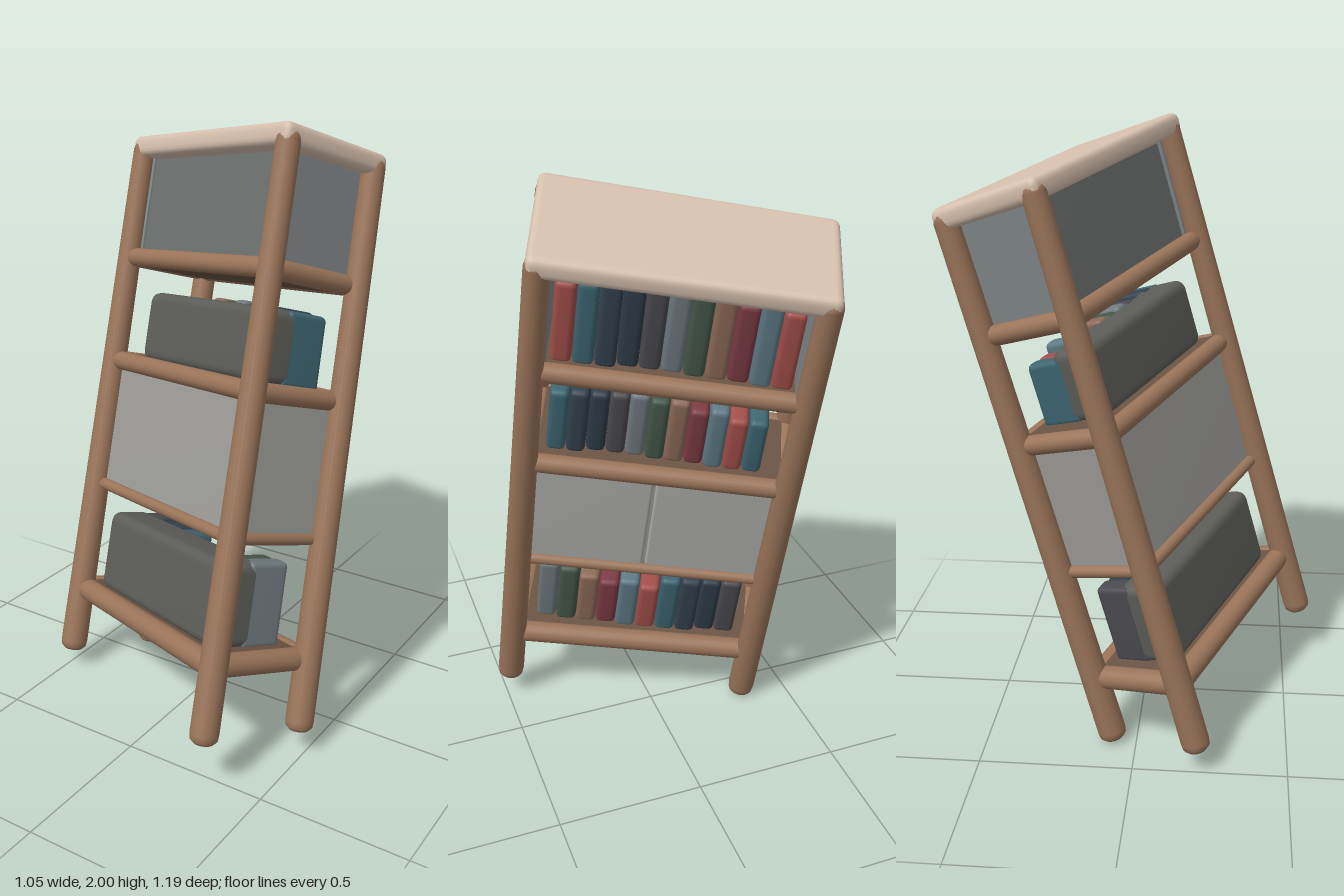
import * as THREE from 'three';
import { RoundedBoxGeometry } from 'three/addons/geometries/RoundedBoxGeometry.js';
import { mergeVertices } from 'three/addons/utils/BufferGeometryUtils.js';

const V = (x, y, z) => new THREE.Vector3(x, y, z);

// Leg axes as [top, bottom]; the whole frame leans back and is turned
const legs = {
  frontRight: [V(-0.455, 1.86, -0.28), V(-0.477, 0.07, 0.21)],
  frontLeft: [V(0.3, 1.98, 0.045), V(0.325, 0.172, 0.557)],
  backRight: [V(-0.325, 1.757, -0.567), V(-0.335, 0.006, -0.075)],
  backLeft: [V(0.425, 1.867, -0.272), V(0.48, 0.085, 0.225)],
};

// Point inside the frame: u right-to-left, v front-to-back, t top-to-bottom
function framePoint(u, v, t) {
  const at = ([a, b]) => a.clone().lerp(b, t);
  const front = at(legs.frontRight).lerp(at(legs.frontLeft), u);
  const back = at(legs.backRight).lerp(at(legs.backLeft), u);
  return front.lerp(back, v);
}

const W = 0.84, H = 1.85, D = 0.34; // frame size along u, t, v

const materials = {};
function mat(color) {
  return (materials[color] ??= new THREE.MeshStandardMaterial({ color }));
}

// Soft-edged block fitted into the frame
function block(parent, name, color, [u0, u1], [v0, v1], [t0, t1], r = 0.01) {
  const w = (u1 - u0) * W, h = (t1 - t0) * H, d = (v1 - v0) * D;
  let g = new RoundedBoxGeometry(w, h, d, 2, Math.min(r, w * 0.45, h * 0.45, d * 0.45));
  const p = g.attributes.position;
  for (let i = 0; i < p.count; i++) {
    const q = framePoint(
      u0 + (p.getX(i) / w + 0.5) * (u1 - u0),
      v0 + (0.5 - p.getZ(i) / d) * (v1 - v0),
      t0 + (0.5 - p.getY(i) / h) * (t1 - t0));
    p.setXYZ(i, q.x, q.y, q.z);
  }
  g.deleteAttribute('normal');
  g.deleteAttribute('uv');
  g = mergeVertices(g, 1e-5);
  g.computeVertexNormals();
  const mesh = new THREE.Mesh(g, mat(color));
  mesh.name = name;
  parent.add(mesh);
}

// Round pole with softened ends
function pole(parent, name, color, a, b, ra, rb) {
  const dir = a.clone().sub(b), L = dir.length();
  const profile = [[0, 0], [rb * 0.7, 0.003], [rb * 0.95, 0.015], [rb, 0.035],
    [ra, L - 0.03], [ra * 0.85, L - 0.008], [0, L]].map(([x, y]) => new THREE.Vector2(x, y));
  const mesh = new THREE.Mesh(new THREE.LatheGeometry(profile, 20), mat(color));
  mesh.position.copy(b);
  mesh.quaternion.setFromUnitVectors(V(0, 1, 0), dir.normalize());
  mesh.name = name;
  parent.add(mesh);
}

// Row of books: spines face the back, plain page block towards the front
const bookColors = [0x5e7a86, 0x45584a, 0x2f3d48, 0xa34f4a, 0x8d6a58, 0x4a4a50, 0x3d6672, 0x7c3b44, 0x6f7a80, 0x34424f];
function bookRow(parent, name, [u0, u1], [v0, v1], base, topAt, count, seed) {
  const row = new THREE.Group();
  row.name = name;
  const mid = v0 + (v1 - v0) * 0.6;
  block(row, 'pageBlock', 0x5c5c58, [u0, u1], [v0, mid], [(topAt(0) + topAt(1)) / 2, base], 0.035);
  const step = (u1 - u0) / count;
  for (let i = 0; i < count; i++) {
    const k = (i * 7 + seed * 3) % 10;
    const top = topAt((i + 0.5) / count) + (k % 4) * 0.004;
    const u = u0 + i * step;
    block(row, 'book', bookColors[k], [u + 0.001, u + step - 0.001],
      [mid - 0.15, v1 - (k % 3) * 0.02], [top, base], 0.018);
  }
  parent.add(row);
}

export function createModel() {
  const model = new THREE.Group();
  model.name = 'bookshelf';
  const wood = 0x9a7459, darkWood = 0x6b5444;

  // Legs
  for (const [key, [a, b]] of Object.entries(legs)) pole(model, key + 'Leg', wood, a, b, 0.038, 0.047);

  // Top board
  block(model, 'topBoard', 0xd6c0ae, [-0.04, 1.04], [-0.1, 1.1], [-0.008, 0.03], 0.025);

  // Shelves with round edge rails: [level, rail radius]
  for (const [t, r] of [[0.217, 0.032], [0.415, 0.032], [0.657, 0.02], [0.872, 0.038]]) {
    const half = r * 0.85 / H;
    block(model, 'shelf', darkWood, [0, 1], [0, 1], [t - half, t + half], 0.012);
    const c = [[0.01, 0.02], [0.98, 0.02], [0.98, 0.97], [0.01, 0.97]].map(([u, v]) => framePoint(u, v, t));
    c.forEach((p, i) => pole(model, 'shelfRail', wood, p, c[(i + 1) % 4], r, r));
  }

  // Upper compartment: side panels and front panel
  const upper = [0.02, 0.215];
  for (const u of [0.03, 0.95]) block(model, 'sidePanel', 0x808689, [u, u + 0.02], [0.06, 0.94], upper, 0.006);
  block(model, 'frontPanel', 0x6c706f, [0.04, 0.96], [0.09, 0.15], upper, 0.006);

  // Books
  bookRow(model, 'upperBooks', [0.06, 0.94], [0.14, 0.9], 0.208, () => 0.042, 11, 1);
  bookRow(model, 'middleBooks', [0.11, 0.93], [0.14, 0.86], 0.405,
    (s) => 0.268 + 0.035 * Math.max(0, 0.45 - s), 11, 2);
  bookRow(model, 'lowerBooks', [0.08, 0.92], [0.09, 0.86], 0.86,
    (s) => 0.707 + (Math.abs(s - 0.55) < 0.2 ? 0.02 : 0), 10, 5);

  // Closed cabinet with two doors on the back
  block(model, 'cabinet', 0x9c9b97, [0.015, 0.985], [0.04, 0.93], [0.42, 0.66], 0.012);
  for (const u of [0.04, 0.505])
    block(model, 'cabinetDoor', 0xb0b0ae, [u, u + 0.455], [0.88, 0.965], [0.425, 0.652], 0.01);

  return model;
}
